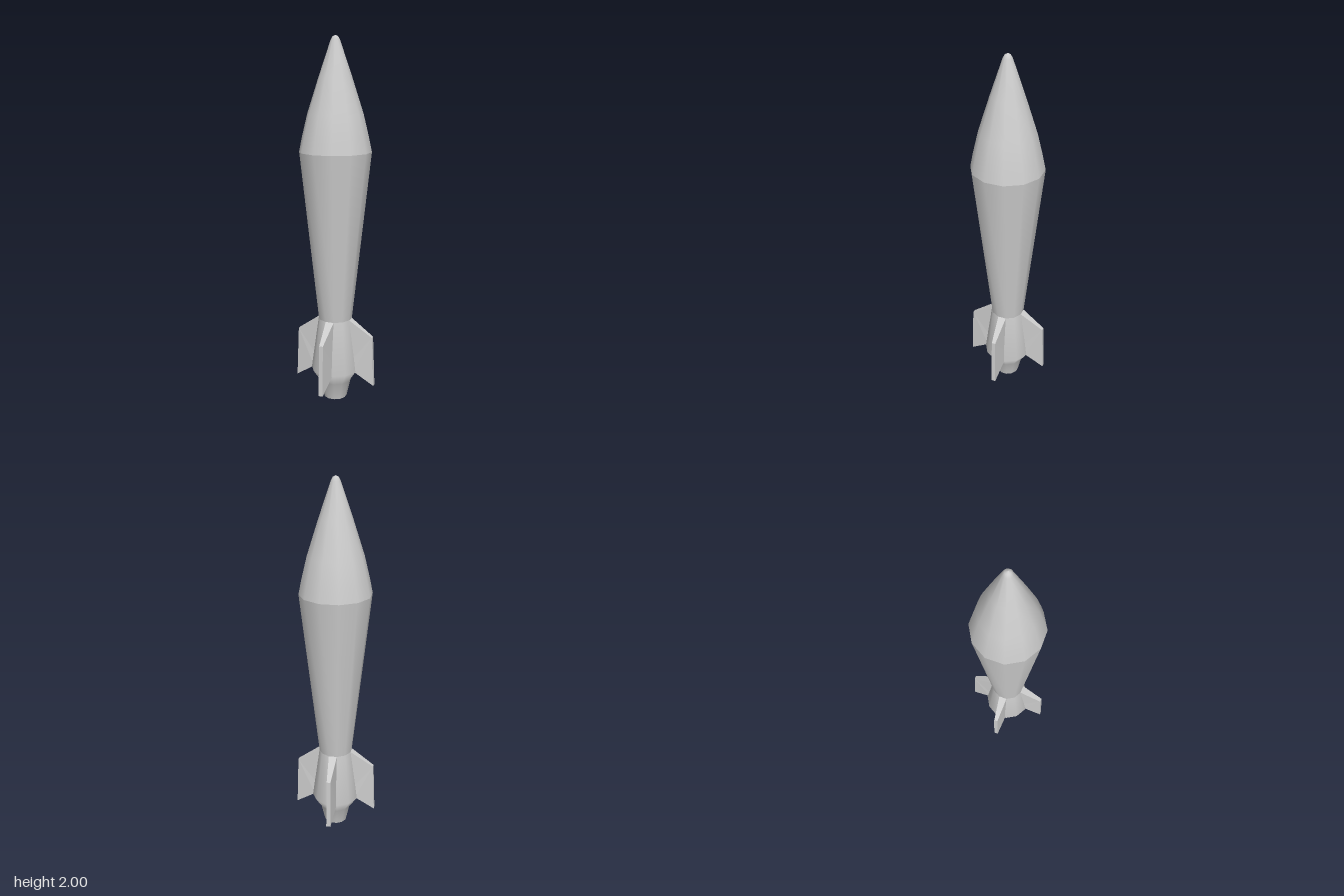
import * as THREE from 'three';

const SIDES = 12;
const STEP = (Math.PI * 2) / SIDES;

export function createModel() {
  const group = new THREE.Group();
  const grey = new THREE.MeshStandardMaterial({ color: 0xcccccc });
  grey.name = 'light grey';

  // Twelve-sided turned part; profile widths are measured across the flats
  const turned = (name, profile) => {
    const pts = profile.map(([r, y]) => new THREE.Vector2(r / Math.cos(STEP / 2), y));
    const mesh = new THREE.Mesh(new THREE.LatheGeometry(pts, SIDES, STEP / 2), grey);
    mesh.name = name;
    group.add(mesh);
  };

  turned('nose', [
    [0.188, 1.4], [0.172, 1.48], [0.144, 1.6], [0.085, 1.79],
    [0.024, 1.975], [0.014, 1.993], [0, 2],
  ]);
  turned('body', [[0.09, 0.47], [0.188, 1.4]]);
  turned('tail', [[0.063, 0], [0.085, 0.1], [0.13, 0.17], [0.09, 0.47]]);
  turned('nozzleRim', [[0.05, 0], [0.063, 0]]);
  turned('nozzleWall', [[0.045, 0.03], [0.05, 0]]);
  turned('nozzleFloor', [[0, 0.03], [0.045, 0.03]]);

  // Swept fin outline, thick at the root and thin at the tip
  const outline = [[0.05, 0.17], [0.12, 0.17], [0.231, 0.095], [0.22, 0.38], [0.09, 0.47], [0.05, 0.47]];
  const shape = new THREE.Shape(outline.map(([x, y]) => new THREE.Vector2(x, y)));
  const finGeometry = new THREE.ExtrudeGeometry(shape, { depth: 1, bevelEnabled: false });
  const pos = finGeometry.attributes.position;
  for (let i = 0; i < pos.count; i++) {
    const x = pos.getX(i);
    const low = pos.getY(i) < 0.3;
    const root = low ? 0.032 : 0.023;
    const tip = low ? 0.012 : 0.01;
    const t = THREE.MathUtils.clamp((x - 0.09) / 0.135, 0, 1);
    pos.setZ(i, (pos.getZ(i) * 2 - 1) * THREE.MathUtils.lerp(root, tip, t));
  }
  finGeometry.computeVertexNormals();

  ['leftFin', 'backFin', 'rightFin', 'frontFin'].forEach((name, i) => {
    const fin = new THREE.Mesh(finGeometry, grey);
    fin.name = name;
    fin.rotation.y = (i * Math.PI) / 2;
    group.add(fin);
  });

  return group;
}
